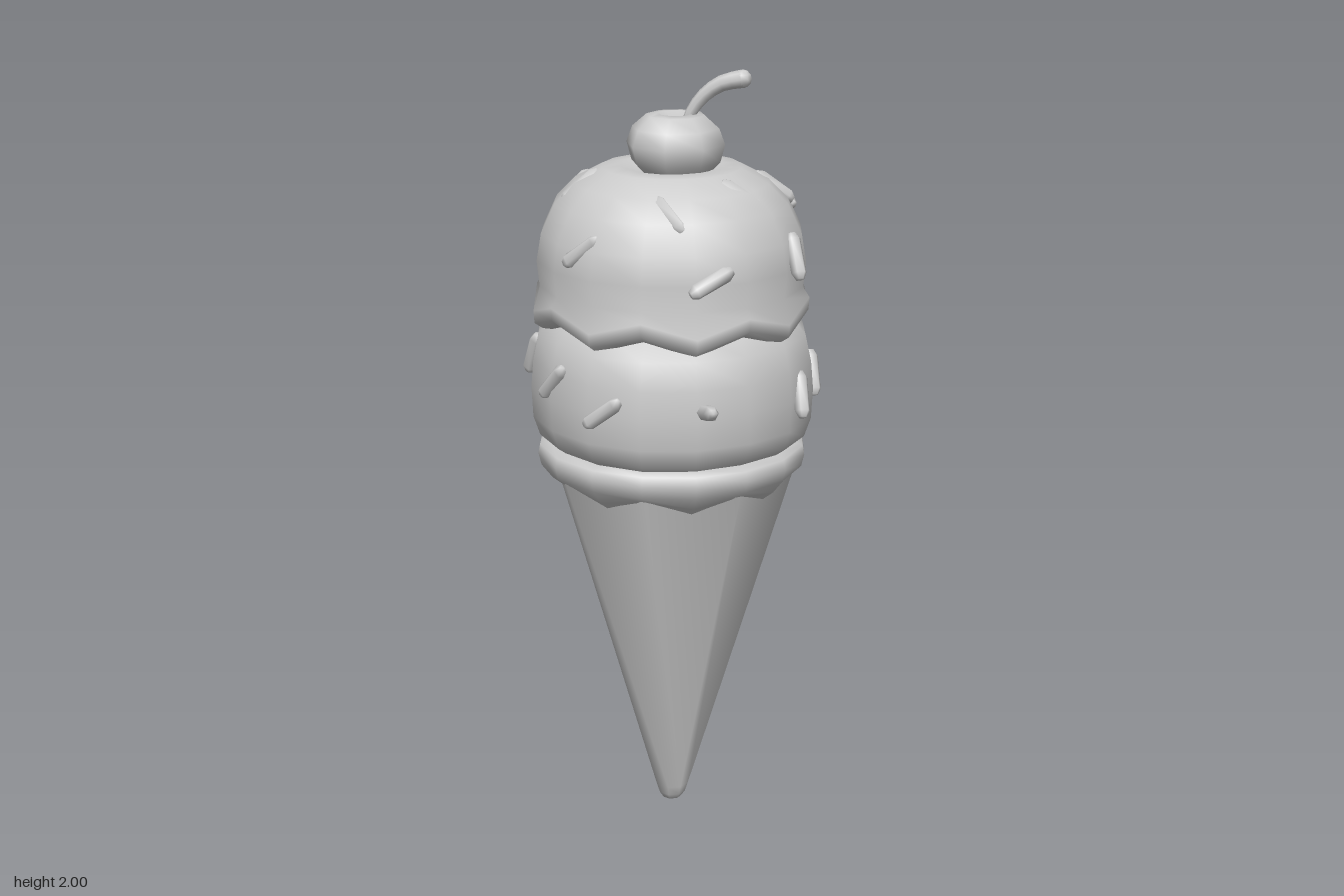
import * as THREE from 'three';
import { mergeVertices } from 'three/addons/utils/BufferGeometryUtils.js';

const grey = new THREE.MeshStandardMaterial({ color: 0xcccccc });
grey.name = 'plainGrey';

// Turned part with smooth normals; rule(vertex, angle) may shift vertices
function turned(name, profile, sides, rule) {
  const pts = profile.map(([r, y]) => new THREE.Vector2(r, y));
  let geo = new THREE.LatheGeometry(pts, sides);
  geo.deleteAttribute('uv');
  geo.deleteAttribute('normal');
  if (rule) {
    const p = geo.attributes.position, v = new THREE.Vector3();
    for (let i = 0; i < p.count; i++) {
      v.fromBufferAttribute(p, i);
      rule(v, Math.atan2(v.x, v.z));
      p.setXYZ(i, v.x, v.y, v.z);
    }
  }
  geo = mergeVertices(geo, 1e-5);
  geo.computeVertexNormals();
  const mesh = new THREE.Mesh(geo, grey);
  mesh.name = name;
  return mesh;
}

// Stem: curved tube that widens towards a closed tip
function makeStem() {
  const curve = new THREE.CatmullRomCurve3([
    [0.03, 1.84, 0], [0.05, 1.89, 0], [0.085, 1.935, 0], [0.13, 1.965, 0], [0.18, 1.977, 0],
  ].map(a => new THREE.Vector3(...a)));
  const rings = 8, sides = 8;
  const geo = new THREE.TubeGeometry(curve, rings, 1, sides, false);
  const p = geo.attributes.position, v = new THREE.Vector3();
  for (let i = 0; i < p.count; i++) {
    const t = Math.floor(i / (sides + 1)) / rings;
    const c = curve.getPointAt(t);
    v.fromBufferAttribute(p, i).sub(c).multiplyScalar(0.012 + 0.011 * t).add(c);
    p.setXYZ(i, v.x, v.y, v.z);
  }
  const stem = new THREE.Group();
  stem.name = 'cherryStem';
  const tip = new THREE.Mesh(new THREE.SphereGeometry(0.023, 8, 6), grey);
  tip.name = 'stemTip';
  tip.position.copy(curve.getPointAt(1));
  const tube = new THREE.Mesh(geo, grey);
  tube.name = 'stemTube';
  stem.add(tube, tip);
  return stem;
}

// Sprinkles: centre, then direction
const sprinkles = [
  // upper scoop
  [0.05, 1.68, 0.255, 0.08, -0.07, 0.06],
  [0.2, 1.705, 0.11, 0.1, -0.07, -0.02],
  [0.245, 1.69, -0.09, 0.09, -0.07, -0.03],
  [-0.215, 1.705, 0.085, 0.09, 0.08, -0.05],
  [-0.14, 1.7, -0.2, 0.09, 0.05, 0.04],
  [0.075, 1.64, -0.315, 0.08, -0.08, -0.02],
  [0.23, 1.64, -0.235, 0.07, -0.03, 0.04],
  [-0.165, 1.585, 0.275, 0.09, 0.07, 0.02],
  [0.165, 1.53, 0.305, 0.09, 0.05, -0.06],
  [0.335, 1.555, 0.09, -0.03, 0.1, -0.05],
  [-0.28, 1.66, -0.115, 0.05, 0.06, -0.07],
  // lower scoop
  [-0.355, 1.255, 0.05, 0.03, 0.09, 0.03],
  [-0.25, 1.24, 0.25, 0.07, 0.09, 0.05],
  [-0.1, 1.195, 0.345, 0.09, 0.07, 0.02],
  [0.155, 1.21, 0.33, 0.05, 0.02, 0.08],
  [0.355, 1.2, 0.095, -0.02, 0.1, -0.06],
  [0.35, 1.2, -0.11, -0.02, 0.1, -0.05],
  [0.205, 1.28, -0.285, 0.04, -0.09, -0.05],
  [0.02, 1.2, -0.36, 0.05, 0.1, -0.01],
  [-0.135, 1.22, -0.335, 0.07, 0.06, -0.03],
  [-0.33, 1.2, -0.17, 0.02, 0.06, -0.07],
];

export function createModel() {
  const model = new THREE.Group();
  model.name = 'iceCreamCone';

  // Eight-sided cone with a blunt tip
  model.add(turned('cone', [
    [0, 0], [0.025, 0.003], [0.037, 0.02], [0.045, 0.045], [0.325, 0.975], [0.325, 1.0], [0, 1.0],
  ], 8));

  // Rolled collar under the scoops
  model.add(turned('collar', [
    [0.27, 0.915], [0.315, 0.95], [0.343, 0.978], [0.351, 1.01], [0.346, 1.035], [0.32, 1.046], [0, 1.05],
  ], 16, (v, a) => {
    if (v.y < 0.96) v.y += 0.008 * Math.cos(8 * a);
  }));

  // Lower scoop, slightly lumpy
  model.add(turned('lowerScoop', [
    [0, 1.03], [0.31, 1.035], [0.345, 1.06], [0.362, 1.11], [0.366, 1.19],
    [0.36, 1.26], [0.345, 1.33], [0.3, 1.385], [0.2, 1.42], [0, 1.43],
  ], 16, (v, a) => {
    const s = 1 + 0.012 * Math.cos(4 * a);
    v.x *= s;
    v.z *= s;
  }));

  // Upper scoop with a scalloped, overhanging skirt
  model.add(turned('upperScoop', [
    [0, 1.4], [0.28, 1.385], [0.325, 1.358], [0.355, 1.378], [0.357, 1.41], [0.34, 1.455],
    [0.347, 1.52], [0.335, 1.59], [0.3, 1.665], [0.25, 1.715], [0.18, 1.752], [0.13, 1.755], [0.09, 1.74], [0, 1.735],
  ], 16, (v, a) => {
    if (v.y > 1.35 && v.y < 1.43 && Math.hypot(v.x, v.z) > 0.3) v.y += 0.02 * Math.cos(8 * a);
  }));

  // Cherry with a dimple for the stem
  const cherry = turned('cherry', [
    [0, 1.72], [0.08, 1.73], [0.115, 1.765], [0.127, 1.81], [0.112, 1.85],
    [0.075, 1.882], [0.045, 1.885], [0, 1.855],
  ], 8);
  cherry.position.x = 0.01;
  model.add(cherry, makeStem());

  // Sprinkles share one six-sided rod with chamfered ends
  const rod = turned('rod', [
    [0, -0.062], [0.011, -0.06], [0.02, -0.044], [0.02, 0.044], [0.011, 0.06], [0, 0.062],
  ], 6).geometry;
  const group = new THREE.Group();
  group.name = 'sprinkles';
  const up = new THREE.Vector3(0, 1, 0);
  for (const [x, y, z, dx, dy, dz] of sprinkles) {
    const s = new THREE.Mesh(rod, grey);
    s.name = 'sprinkle';
    s.position.set(x, y, z);
    s.quaternion.setFromUnitVectors(up, new THREE.Vector3(dx, dy, dz).normalize());
    group.add(s);
  }
  model.add(group);
  return model;
}
